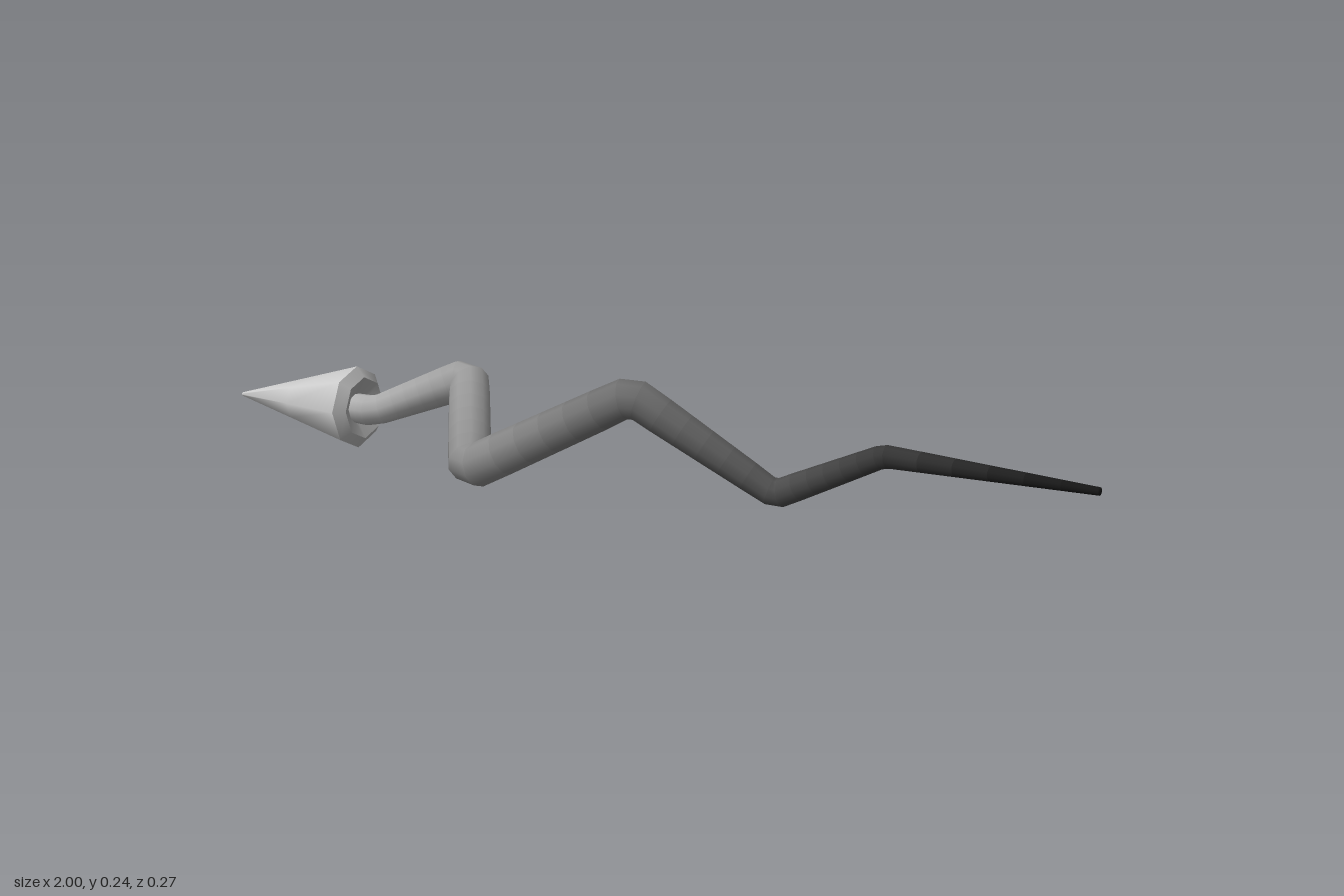
import * as THREE from 'three';

const SIDES = 10;
const BANDS = 6; // colour bands per straight span

// grey that darkens from the pointed head (x = -1) to the tail (x = 1)
function shade(x) {
  const f = 1 - (x + 1) / 2;
  return new THREE.Color(0xcccccc).multiplyScalar(0.012 + 0.988 * f * f);
}

// bend points of the zigzag, with the radius at each
const bends = [
  [1.0, 0.125, 0.0, 0.008],
  [0.54, 0.134, -0.054, 0.023],
  [0.31, 0.035, -0.046, 0.029],
  [0.035, 0.221, 0.047, 0.041],
  [-0.32, 0.046, 0.1, 0.046],
  [-0.46, 0.194, -0.1, 0.044],
  [-0.63, 0.122, 0.008, 0.033],
  [-0.72, 0.125, 0.0, 0.03],
].map(([x, y, z, r]) => ({ p: new THREE.Vector3(x, y, z), r }));

function buildRings() {
  const dir = (i) => bends[i + 1].p.clone().sub(bends[i].p).normalize();
  const rings = [];
  const last = bends.length - 1;
  for (let i = 0; i < last; i++) {
    const d = dir(i), a = bends[i], b = bends[i + 1];
    const start = a.p.clone().addScaledVector(d, i ? a.r * 0.45 : 0);
    const end = b.p.clone().addScaledVector(d, i < last - 1 ? -b.r * 0.45 : 0);
    // rings at a bend lean part of the way into the neighbouring span
    const tStart = i ? d.clone().multiplyScalar(3).add(dir(i - 1)).normalize() : d;
    const tEnd = i < last - 1 ? d.clone().multiplyScalar(3).add(dir(i + 1)).normalize() : d;
    for (let k = 0; k <= BANDS; k++) {
      const f = k / BANDS;
      rings.push({
        p: start.clone().lerp(end, f),
        r: THREE.MathUtils.lerp(a.r, b.r, f),
        t: k === 0 ? tStart : k === BANDS ? tEnd : d,
      });
    }
  }
  return rings;
}

// tapered zigzag shaft, swept ring by ring with a frame carried along the path
function createShaft() {
  const rings = buildRings();
  const pos = [], index = [], materials = [];
  const geo = new THREE.BufferGeometry();
  const u = new THREE.Vector3(0, 1, 0);
  let previous = rings[0].t;
  const turn = new THREE.Quaternion();
  rings.forEach(({ p, r, t }, i) => {
    u.applyQuaternion(turn.setFromUnitVectors(previous, t));
    u.addScaledVector(t, -u.dot(t)).normalize();
    previous = t;
    const v = new THREE.Vector3().crossVectors(t, u);
    for (let s = 0; s < SIDES; s++) {
      const a = (s / SIDES) * Math.PI * 2;
      const q = p.clone().addScaledVector(u, r * Math.cos(a)).addScaledVector(v, r * Math.sin(a));
      pos.push(q.x, q.y, q.z);
    }
    if (i === 0) return;
    const first = index.length;
    for (let s = 0; s < SIDES; s++) {
      const n = (s + 1) % SIDES;
      const a = (i - 1) * SIDES + s, b = (i - 1) * SIDES + n;
      const c = i * SIDES + n, d = i * SIDES + s;
      index.push(a, b, c, a, c, d);
    }
    geo.addGroup(first, index.length - first, materials.length);
    materials.push(new THREE.MeshStandardMaterial({
      color: shade((p.x + rings[i - 1].p.x) / 2), side: THREE.DoubleSide,
    }));
  });
  // caps at both ends
  const tail = index.length;
  const top = (rings.length - 1) * SIDES;
  for (let s = 1; s < SIDES - 1; s++) index.push(0, s + 1, s, top, top + s, top + s + 1);
  geo.addGroup(tail, index.length - tail, 0);
  geo.setAttribute('position', new THREE.Float32BufferAttribute(pos, 3));
  geo.setIndex(index);
  geo.computeVertexNormals();
  const shaft = new THREE.Mesh(geo, materials);
  shaft.name = 'zigzagShaft';
  return shaft;
}

// pointed head: long cone with a bevelled, hollowed back
function createHead() {
  const head = new THREE.Group();
  head.name = 'arrowHead';
  const part = (name, profile, x) => {
    const geo = new THREE.LatheGeometry(profile.map(([r, h]) => new THREE.Vector2(r, h)), 8);
    geo.rotateZ(Math.PI / 2); // lathe axis +y becomes -x
    const mesh = new THREE.Mesh(geo, new THREE.MeshStandardMaterial({
      color: shade(x), side: THREE.DoubleSide,
    }));
    mesh.name = name;
    head.add(mesh);
  };
  part('point', [[0.088, 0.682], [0.046, 0.84], [0.004, 0.999], [0, 1]], -0.9);
  part('backBevel', [[0.066, 0.663], [0.088, 0.682]], -0.72);
  part('backHollow', [[0.025, 0.685], [0.066, 0.663]], -0.6);
  head.position.y = 0.125;
  return head;
}

export function createModel() {
  const model = new THREE.Group();
  model.name = 'zigzagArrow';
  model.add(createShaft(), createHead());
  return model;
}
